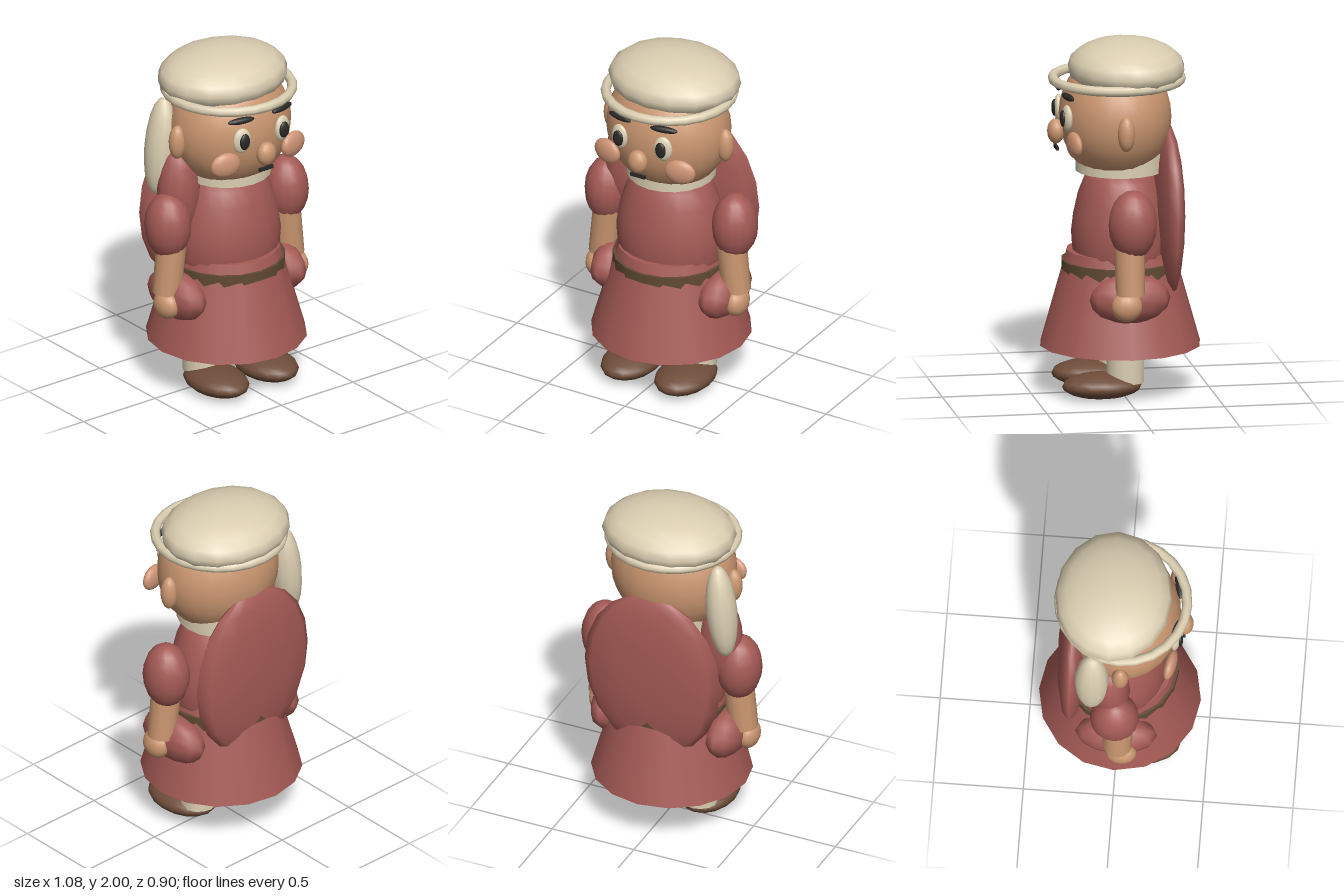
import * as THREE from 'three';

export function createModel() {
  const model = new THREE.Group();
  model.name = 'figure';

  const paint = (name, color) => {
    const m = new THREE.MeshStandardMaterial({ color });
    m.name = name;
    return m;
  };
  const red = paint('dusty red cloth', 0xa45a55);
  const cream = paint('cream cloth', 0xdccfb2);
  const skin = paint('skin', 0xca9670);
  const blush = paint('blush', 0xcf9576);
  const shoeBrown = paint('shoe brown', 0x6e4c39);
  const beltBrown = paint('belt brown', 0x614a33);
  const black = paint('black', 0x2a2926);

  const add = (name, geometry, material, pos, rot = [0, 0, 0]) => {
    const mesh = new THREE.Mesh(geometry, material);
    mesh.name = name;
    mesh.position.set(...pos);
    mesh.rotation.set(...rot);
    model.add(mesh);
    return mesh;
  };
  // Ellipsoid given by its three radii
  const blob = (name, material, pos, radii, rot, w = 16, h = 10) =>
    add(name, new THREE.SphereGeometry(1, w, h).scale(...radii), material, pos, rot);
  // Upright cylinder between two heights
  const column = (name, material, x, z, y0, y1, r0, r1, sides) =>
    add(name, new THREE.CylinderGeometry(r1, r0, y1 - y0, sides), material, [x, (y0 + y1) / 2, z]);

  // Gown
  column('skirt', red, 0, 0, 0.27, 0.81, 0.45, 0.298, 16);
  column('belt', beltBrown, 0, 0, 0.65, 0.755, 0.328, 0.328, 18);
  const profile = [[0.001, 0.7], [0.29, 0.7], [0.312, 0.8], [0.32, 0.9], [0.306, 1.0],
    [0.275, 1.12], [0.235, 1.21], [0.19, 1.27], [0.001, 1.28]];
  const torso = new THREE.LatheGeometry(profile.map(([x, y]) => new THREE.Vector2(x, y)), 20);
  add('torso', torso.scale(1, 1, 0.85), red, [0, 0, 0]);
  column('collar', cream, 0, 0, 1.26, 1.37, 0.25, 0.25, 20);

  // Cape on the back, and the drape over the right shoulder
  blob('cape', red, [0, 1.02, -0.255], [0.415, 0.51, 0.088], [0, 0, 0], 12, 10);
  blob('shoulderDrape', red, [-0.31, 1.2, -0.03], [0.13, 0.28, 0.11], [0, 0, 0], 12, 10);
  blob('hairTail', cream, [-0.365, 1.46, -0.13], [0.085, 0.29, 0.095], [0, 0, -0.1], 12, 10);

  // Head and cap
  blob('head', skin, [0, 1.57, 0.028], [0.36, 0.36, 0.312], [0, 0, 0], 24, 16);
  blob('cap', cream, [0, 1.84, -0.035], [0.385, 0.16, 0.326]);
  add('capBrim', new THREE.TorusGeometry(0.356, 0.028, 8, 24), cream, [0, 1.78, 0.018], [Math.PI / 2, 0, 0]);

  // Face centre
  blob('nose', skin, [0, 1.49, 0.362], [0.06, 0.07, 0.048]);
  add('mouth', new THREE.BoxGeometry(0.094, 0.02, 0.014), black, [0, 1.4, 0.36]);

  // Mirrored parts
  for (const [side, s] of [['left', 1], ['right', -1]]) {
    blob(side + 'Eye', cream, [s * 0.14, 1.592, 0.322], [0.055, 0.075, 0.026], [0, s * 0.2, 0]);
    blob(side + 'Pupil', black, [s * 0.137, 1.592, 0.346], [0.033, 0.048, 0.016]);
    blob(side + 'Brow', black, [s * 0.142, 1.713, 0.318], [0.082, 0.019, 0.02], [0, s * 0.2, 0]);
    blob(side + 'Cheek', blush, [s * 0.235, 1.46, 0.298], [0.092, 0.073, 0.034], [0, s * 0.2, 0]);
    blob(side + 'Ear', skin, [s * 0.365, 1.54, 0.028], [0.05, 0.1, 0.048]);

    blob(side + 'Sleeve', red, [s * 0.412, 1.035, 0], [0.128, 0.195, 0.137]);
    add(side + 'Forearm', new THREE.CylinderGeometry(0.086, 0.082, 0.3, 12), skin,
      [s * 0.414, 0.785, 0.017], [0, 0, s * 0.11]);
    blob(side + 'Hand', skin, [s * 0.45, 0.578, 0.04], [0.065, 0.085, 0.087]);
    blob(side + 'HipPuff', red, [s * 0.35, 0.6, 0.005], [0.11, 0.14, 0.228], [0, 0, 0], 12, 8);

    column(side + 'Leg', cream, s * 0.173, 0, 0.09, 0.4, 0.106, 0.106, 14);
    blob(side + 'Shoe', shoeBrown, [s * 0.173, 0.073, 0.132], [0.157, 0.073, 0.224]);
  }
  return model;
}
